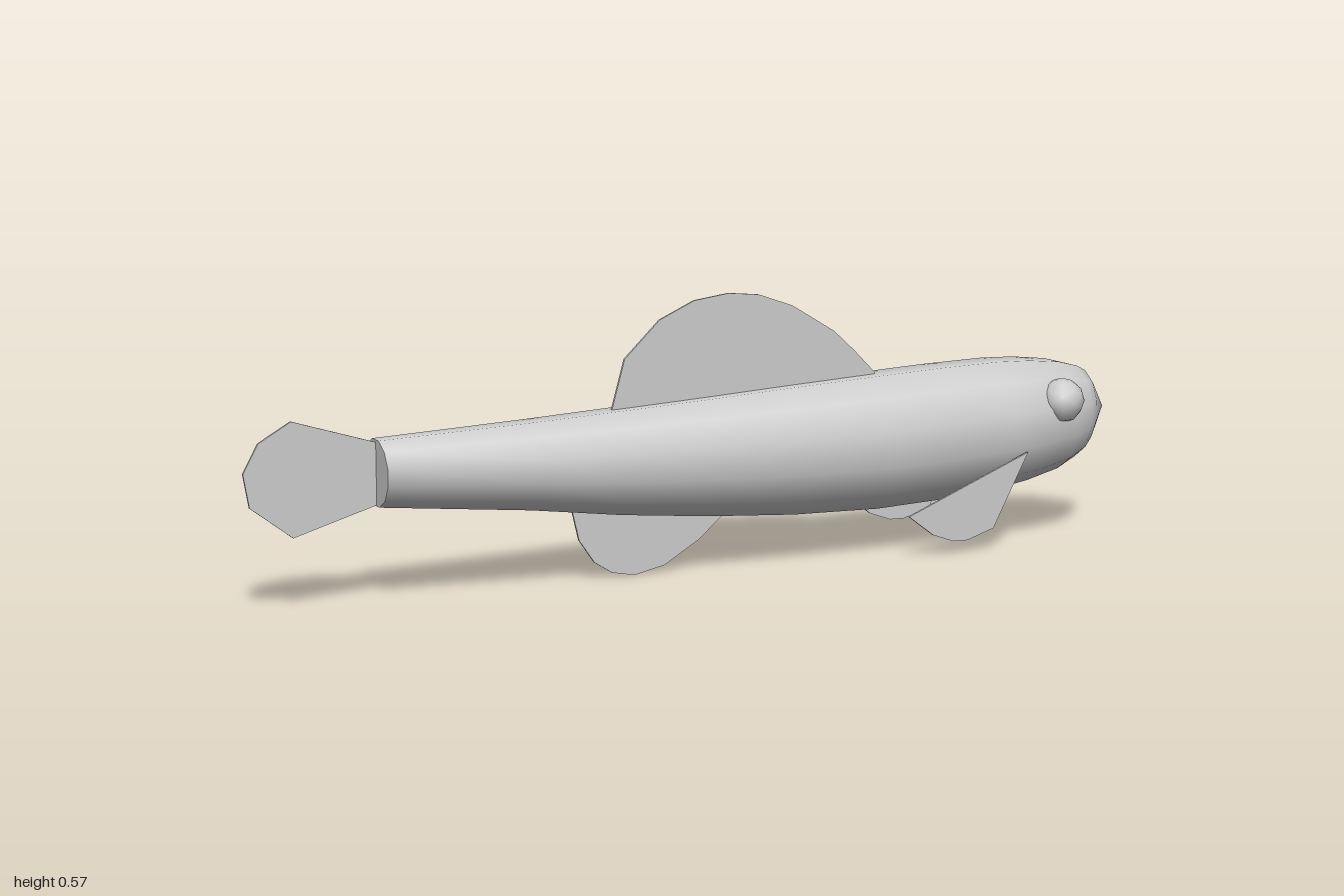
import * as THREE from 'three';

const grey = new THREE.MeshStandardMaterial({ color: 0xcccccc });
grey.name = 'plain grey';

const SIDES = 12;
const FIN = 0.005;

// Body sections from tail to nose: x, top, bottom, half width
const SECTIONS = [
  [-0.725, 0.33, 0.197, 0.063],
  [-0.4, 0.34, 0.162, 0.086],
  [-0.2, 0.348, 0.134, 0.099],
  [0, 0.357, 0.113, 0.11],
  [0.2, 0.367, 0.098, 0.12],
  [0.4, 0.376, 0.092, 0.127],
  [0.55, 0.382, 0.097, 0.129],
  [0.7, 0.385, 0.108, 0.129],
  [0.78, 0.382, 0.12, 0.125],
  [0.86, 0.373, 0.138, 0.108],
  [0.91, 0.36, 0.16, 0.085],
  [0.935, 0.348, 0.183, 0.066],
  [0.995, 0.262, 0.262, 0],
];

// One twelve-sided ring with flat top and bottom edges
function ring([x, top, bottom, half]) {
  const k = 1 / Math.cos(Math.PI / SIDES);
  const points = [];
  for (let i = 0; i < SIDES; i++) {
    const a = ((i + 0.5) / SIDES) * Math.PI * 2;
    points.push(
      x,
      (top + bottom) / 2 + Math.cos(a) * k * (top - bottom) / 2,
      Math.sin(a) * k * half
    );
  }
  return points;
}

function buildGeometry(positions, index) {
  const g = new THREE.BufferGeometry();
  g.setAttribute('position', new THREE.Float32BufferAttribute(positions, 3));
  g.setIndex(index);
  g.computeVertexNormals();
  return g;
}

// Smooth skin lofted through all sections, ending in a pointed nose
function bodyGeometry() {
  const positions = SECTIONS.slice(0, -1).flatMap(ring);
  const [tipX, tipY] = SECTIONS[SECTIONS.length - 1];
  const rings = SECTIONS.length - 1;
  const tip = rings * SIDES;
  positions.push(tipX, tipY, 0);
  const index = [];
  for (let r = 0; r < rings; r++) {
    for (let i = 0; i < SIDES; i++) {
      const j = (i + 1) % SIDES;
      const a = r * SIDES + i, b = r * SIDES + j;
      if (r === rings - 1) index.push(a, b, tip);
      else index.push(a, b, b + SIDES, a, b + SIDES, a + SIDES);
    }
  }
  return buildGeometry(positions, index);
}

// Flat disc closing the tail end of the body
function capGeometry() {
  const index = [];
  for (let i = 1; i < SIDES - 1; i++) index.push(0, i + 1, i);
  return buildGeometry(ring(SECTIONS[0]), index);
}

// Thin plate cut from an outline in the x-y plane
function finGeometry(outline) {
  const shape = new THREE.Shape(outline.map(([x, y]) => new THREE.Vector2(x, y)));
  const g = new THREE.ExtrudeGeometry(shape, { depth: FIN, bevelEnabled: false });
  return g.translate(0, 0, -FIN / 2);
}

export function createModel() {
  const model = new THREE.Group();
  model.name = 'fish';

  function add(name, geometry, z = 0) {
    const mesh = new THREE.Mesh(geometry, grey);
    mesh.name = name;
    mesh.position.z = z;
    model.add(mesh);
    return mesh;
  }

  add('body', bodyGeometry());
  add('bodyEnd', capGeometry());

  // Fins on the centre line, rooted inside the body
  add('dorsalFin', finGeometry([
    [-0.2, 0.3], [0.38, 0.3], [0.41, 0.38], [0.36, 0.43], [0.31, 0.475],
    [0.21, 0.535], [0.13, 0.563], [0.06, 0.57], [-0.02, 0.56],
    [-0.1, 0.525], [-0.18, 0.45], [-0.21, 0.345],
  ]));
  add('analFin', finGeometry([
    [0.05, 0.11], [0.02, 0.18], [-0.28, 0.2], [-0.3, 0.148], [-0.285, 0.085],
    [-0.25, 0.035], [-0.21, 0.01], [-0.16, 0.0], [-0.09, 0.014], [-0.01, 0.06],
  ]));
  add('tailFin', finGeometry([
    [-0.715, 0.322], [-0.9, 0.38], [-0.968, 0.342], [-1, 0.285],
    [-0.988, 0.217], [-0.9, 0.15], [-0.715, 0.202],
  ]));

  // Paired fins and eyes
  const eye = new THREE.IcosahedronGeometry(0.049, 1);
  const pectoral = finGeometry([
    [0.715, 0.203], [0.63, 0.046], [0.565, 0.026], [0.53, 0.027],
    [0.48, 0.045], [0.42, 0.09],
  ]);
  for (const [side, s] of [['right', -1], ['left', 1]]) {
    // The fish swims toward +x, so its flanks face +z and -z
    add(side + 'PectoralFin', pectoral, s * 0.13);
    add(side + 'Eye', eye, s * 0.1).position.set(0.82, 0.302, s * 0.1);
  }
  return model;
}
